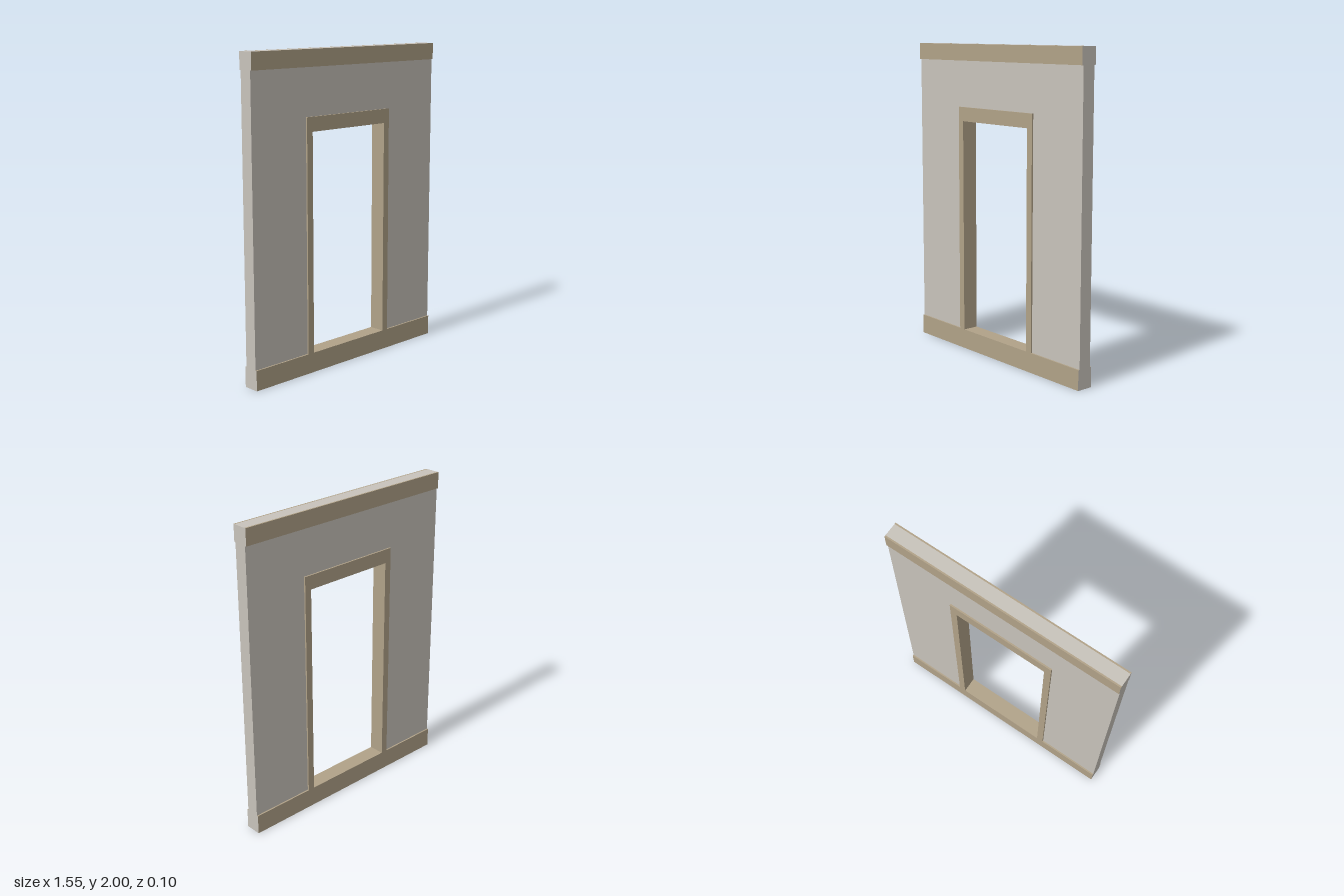
import * as THREE from 'three';

const W = 0.775;      // half width of the wall
const D = 0.042;      // half depth of the wall
const T = 0.052;      // half depth of the trim
const BASE = 0.127;   // top of the skirting
const TOP = 1.895;    // bottom of the upper band
const IN = 0.31, OUT = 0.355;       // half widths of the opening and its casing
const HEAD = 1.51, CASE_TOP = 1.6;  // heights of the opening and its casing

export function createModel() {
  const group = new THREE.Group();
  const plaster = new THREE.MeshStandardMaterial({ color: 0xc8c3bb });
  plaster.name = 'plaster';
  const wood = new THREE.MeshStandardMaterial({ color: 0xb1a288 });
  wood.name = 'tanTrim';

  // box given by its extents on each axis
  function box(name, x0, x1, y0, y1, z0, z1, material) {
    const mesh = new THREE.Mesh(new THREE.BoxGeometry(x1 - x0, y1 - y0, z1 - z0), material);
    mesh.position.set((x0 + x1) / 2, (y0 + y1) / 2, (z0 + z1) / 2);
    mesh.name = name;
    group.add(mesh);
  }

  // wall slab, notched for the casing and threshold
  const outline = [
    [-W, 0], [-IN, 0], [-IN, BASE], [-OUT, BASE], [-OUT, CASE_TOP], [OUT, CASE_TOP],
    [OUT, BASE], [IN, BASE], [IN, 0], [W, 0], [W, 2], [-W, 2],
  ].map(([x, y]) => new THREE.Vector2(x, y));
  const slab = new THREE.ExtrudeGeometry(new THREE.Shape(outline), { depth: 2 * D, bevelEnabled: false });
  slab.translate(0, 0, -D);
  const wall = new THREE.Mesh(slab, plaster);
  wall.name = 'wall';
  group.add(wall);

  // upper band and skirting on both faces, with plaster-coloured ends
  const bandMaterials = [plaster, plaster, wood, wood, wood, wood];
  const skirtingMaterials = [plaster, plaster, wood, plaster, wood, wood];
  for (const [side, z0, z1] of [['front', D, T], ['back', -T, -D]]) {
    box(side + 'UpperBand', -W, W, TOP, 2, z0, z1, bandMaterials);
    box(side + 'SkirtingRight', -W, -IN, 0, BASE, z0, z1, skirtingMaterials);
    box(side + 'SkirtingLeft', IN, W, 0, BASE, z0, z1, skirtingMaterials);
  }

  // door casing and threshold through the full depth
  box('threshold', -IN, IN, 0, BASE, -T, T, wood);
  box('rightJamb', -OUT, -IN, BASE, HEAD, -T, T, wood);
  box('leftJamb', IN, OUT, BASE, HEAD, -T, T, wood);
  box('lintel', -OUT, OUT, HEAD, CASE_TOP, -T, T, wood);

  return group;
}
